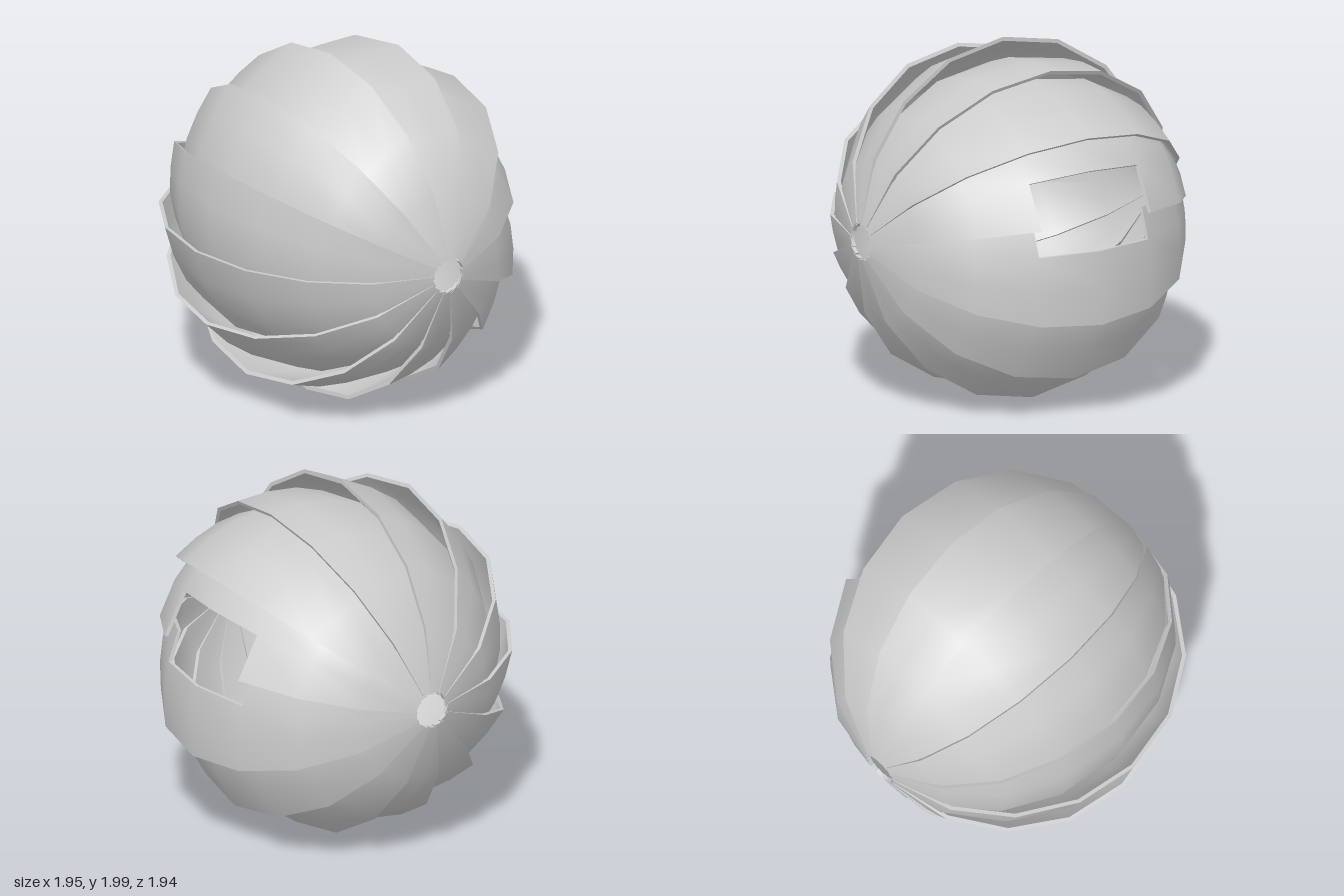
import * as THREE from 'three';
import { toCreasedNormals } from 'three/addons/utils/BufferGeometryUtils.js';

const CY = 0.99, CZ = -0.04;      // axis of the ball, running along x
const COLS = 8, THICK = 0.022;
const rad = THREE.MathUtils.degToRad;

// Sweep (degrees) and radius of each row of a blade, from lip to tucked edge
const ROWS = [[0, 1.01], [12, 0.952], [24.5, 0.905], [37, 0.86]];
const DOOR_ROWS = [[0, 0.95], [18, 0.912], [28, 0.885], [39, 0.86]];
const ANGLES = [4.4, 31.6, 59.3, 86.6, 113.5, 140.4, 167.3, 193.9, 220.5, 247, 281.8, 309.2, 336.8];

// Curved slat from pole to pole, spiralling inwards; isOpen(row, col) leaves cells out
function bladeGeometry(angle, rows, isOpen) {
  const point = (i, j, inner) => {
    const t = rad(6.5 + 20.875 * j);
    const R = 0.98 + 0.03 * Math.sin(t), s = inner ? 1 - THICK : 1;
    const r = Math.sin(t) * R * rows[i][1] / 1.01;
    const phi = rad(angle + rows[i][0]) - 0.011 / r;
    return [-Math.cos(t) * R * s, CY + r * s * Math.cos(phi), CZ + r * s * Math.sin(phi)];
  };
  const filled = (i, j) => i >= 0 && j >= 0 && i < rows.length - 1 && j < COLS && !isOpen(i, j);
  const pos = [];
  const quad = (a, b, c, d) => pos.push(...a, ...b, ...c, ...a, ...c, ...d);

  for (let i = 0; i < rows.length - 1; i++) {
    for (let j = 0; j < COLS; j++) {
      if (!filled(i, j)) continue;
      const corners = [[i, j], [i + 1, j], [i + 1, j + 1], [i, j + 1]];
      const neighbours = [[i, j - 1], [i + 1, j], [i, j + 1], [i - 1, j]];
      const o = corners.map(([a, b]) => point(a, b, false));
      const n = corners.map(([a, b]) => point(a, b, true));
      quad(o[0], o[1], o[2], o[3]);
      quad(n[3], n[2], n[1], n[0]);
      // Rim walls wherever there is no adjoining cell
      neighbours.forEach(([a, b], k) => {
        const m = (k + 1) % 4;
        if (!filled(a, b)) quad(o[m], o[k], n[k], n[m]);
      });
    }
  }
  const g = new THREE.BufferGeometry();
  g.setAttribute('position', new THREE.Float32BufferAttribute(pos, 3));
  return toCreasedNormals(g, 0.6);
}

export function createModel() {
  const group = new THREE.Group();
  group.name = 'bladedBall';
  const material = new THREE.MeshStandardMaterial({ color: 0xcccccc, side: THREE.DoubleSide });
  const middle = (j) => j === 3 || j === 4;

  ANGLES.forEach((angle, k) => {
    // The opening at the back is cut from two neighbouring blades
    const lower = k === 9, upper = k === 10;
    const isOpen = (i, j) => middle(j) && ((lower && i === 2) || (upper && i === 0));
    const blade = new THREE.Mesh(bladeGeometry(angle, upper ? DOOR_ROWS : ROWS, isOpen), material);
    blade.name = lower ? 'bladeBelowOpening' : upper ? 'bladeAboveOpening' : 'blade' + (k + 1);
    group.add(blade);
  });
  return group;
}
